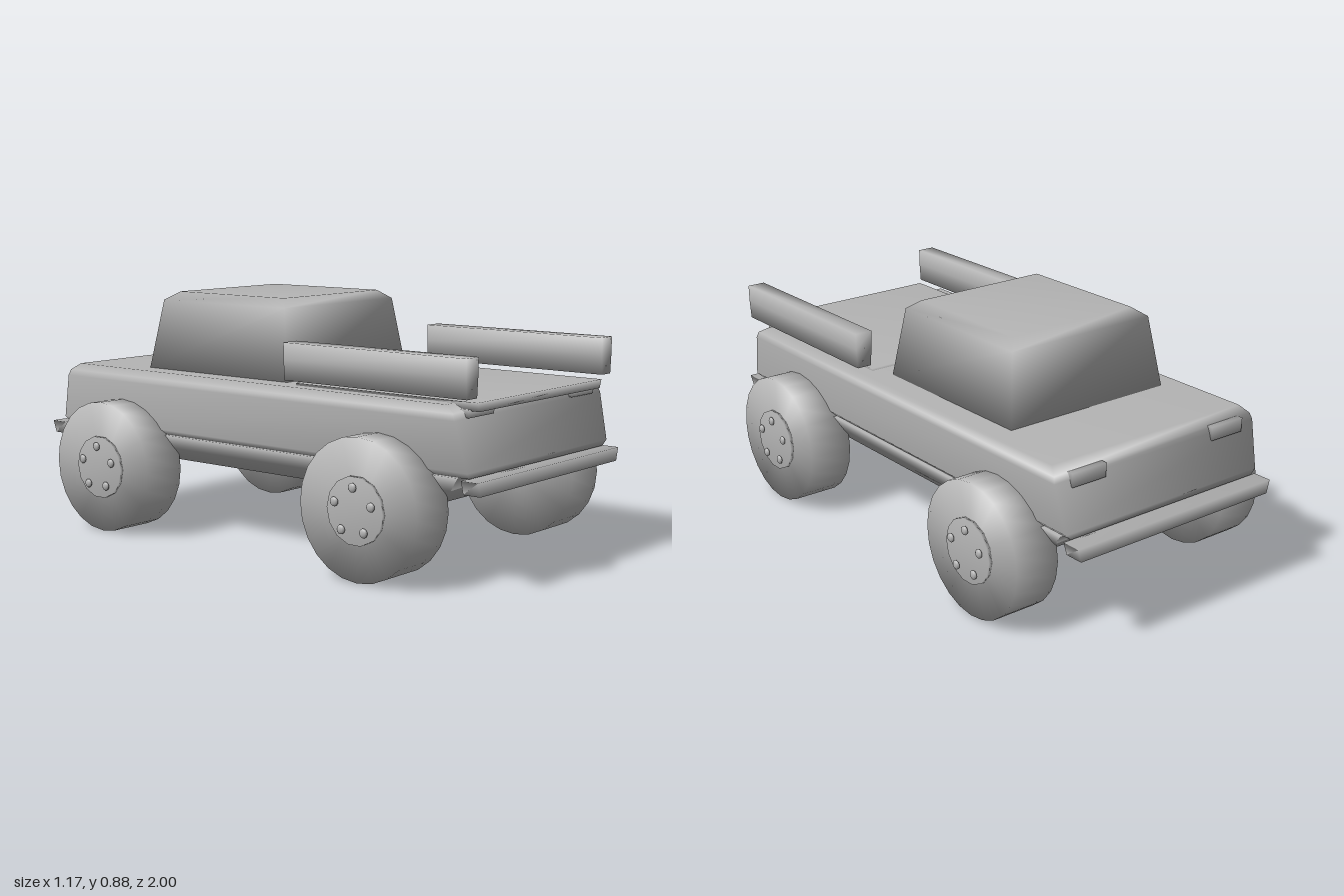
import * as THREE from 'three';
import { mergeVertices } from 'three/addons/utils/BufferGeometryUtils.js';

const grey = new THREE.MeshStandardMaterial({ color: 0xb4b4b4 });
grey.name = 'body grey';

// Stacks rectangular sections [y, x0, x1, z0, z1] into a closed smooth-shaded solid.
function stack(rings) {
  const pos = [], idx = [];
  for (const [y, x0, x1, z0, z1] of rings) pos.push(x0, y, z0, x0, y, z1, x1, y, z1, x1, y, z0);
  for (let r = 0; r < rings.length - 1; r++) {
    for (let i = 0; i < 4; i++) {
      const a = r * 4 + i, b = r * 4 + (i + 1) % 4;
      idx.push(a, b, b + 4, a, b + 4, a + 4);
    }
  }
  const t = (rings.length - 1) * 4;
  idx.push(t, t + 1, t + 2, t, t + 2, t + 3, 0, 2, 1, 0, 3, 2);
  const g = new THREE.BufferGeometry();
  g.setAttribute('position', new THREE.Float32BufferAttribute(pos, 3));
  g.setIndex(idx);
  g.computeVertexNormals();
  return g;
}

// Cylinder along x whose rim normals are shared between tread and faces.
function disc(radius, width, sides) {
  const g = new THREE.CylinderGeometry(radius, radius, width, sides).rotateZ(-Math.PI / 2);
  g.deleteAttribute('normal');
  g.deleteAttribute('uv');
  const m = mergeVertices(g, 1e-4);
  m.computeVertexNormals();
  return m;
}

function add(parent, name, geometry, x = 0, y = 0, z = 0) {
  const mesh = new THREE.Mesh(geometry, grey);
  mesh.name = name;
  mesh.position.set(x, y, z);
  parent.add(mesh);
  return mesh;
}

const sym = (y, w, z0, z1) => [y, -w, w, z0, z1];

export function createModel() {
  const truck = new THREE.Group();
  truck.name = 'truck';

  // Hull with a tucked lower edge and chamfered top
  add(truck, 'body', stack([
    sym(0.365, 0.41, -0.935, 0.95), sym(0.385, 0.43, -0.935, 0.955),
    sym(0.55, 0.446, -0.893, 0.915), sym(0.572, 0.44, -0.885, 0.907), sym(0.596, 0.42, -0.85, 0.865),
  ]));
  add(truck, 'underbody', stack([
    sym(0.27, 0.365, -0.8, 0.83), sym(0.315, 0.397, -0.85, 0.87), sym(0.366, 0.425, -0.9, 0.915),
  ]));

  // Cabin
  add(truck, 'cabin', stack([
    sym(0.59, 0.342, -0.552, 0.13), sym(0.85, 0.306, -0.508, 0.09), sym(0.881, 0.265, -0.46, 0.05),
  ]));

  // Bed plate and its two side rails
  add(truck, 'bed', stack([sym(0.575, 0.37, 0.205, 0.957), sym(0.605, 0.38, 0.205, 0.957)]));
  for (const s of [1, -1]) {
    const side = s > 0 ? 'left' : 'right';
    add(truck, side + 'Rail', stack([
      [0.62, s * 0.412 - 0.028, s * 0.412 + 0.028, 0.205, 0.957],
      [0.69, s * 0.412 - 0.033, s * 0.412 + 0.033, 0.205, 0.957],
      [0.75, s * 0.412 - 0.034, s * 0.412 + 0.034, 0.205, 0.957],
    ]));
    // Lamps at both ends
    const lamp = (y0, y1, z0, z1) => stack([
      [y0, s * 0.31 - 0.07, s * 0.31 + 0.07, z0, z1],
      [y1, s * 0.31 - 0.073, s * 0.31 + 0.073, z0, z1],
    ]);
    add(truck, side + 'RearLamp', lamp(0.525, 0.574, -0.905, -0.868));
    add(truck, side + 'FrontLamp', lamp(0.553, 0.58, 0.87, 0.925));
  }

  // Bumpers
  for (const [name, z0, z1] of [['frontBumper', 0.935, 1], ['rearBumper', -1, -0.93]]) {
    add(truck, name, stack([sym(0.315, 0.422, z0, z1), sym(0.362, 0.435, z0, z1)]));
  }

  // Wheels: tyre, hub and five lug nuts standing just off the hub
  const tyre = disc(0.241, 0.17, 24), hub = disc(0.115, 0.014, 14);
  const nut = new THREE.SphereGeometry(0.016, 10, 8).scale(0.5, 1, 1);
  for (const [end, z] of [['front', 0.61], ['rear', -0.6]]) {
    for (const s of [1, -1]) {
      const wheel = new THREE.Group();
      wheel.name = end + (s > 0 ? 'Left' : 'Right') + 'Wheel';
      wheel.position.set(s * 0.465, 0.241, z);
      add(wheel, 'tyre', tyre);
      add(wheel, 'hub', hub, s * 0.092);
      for (let i = 0; i < 5; i++) {
        const a = i * Math.PI * 2 / 5;
        add(wheel, 'lugNut', nut, s * 0.11, 0.079 * Math.cos(a), 0.079 * Math.sin(a));
      }
      truck.add(wheel);
    }
  }
  return truck;
}
